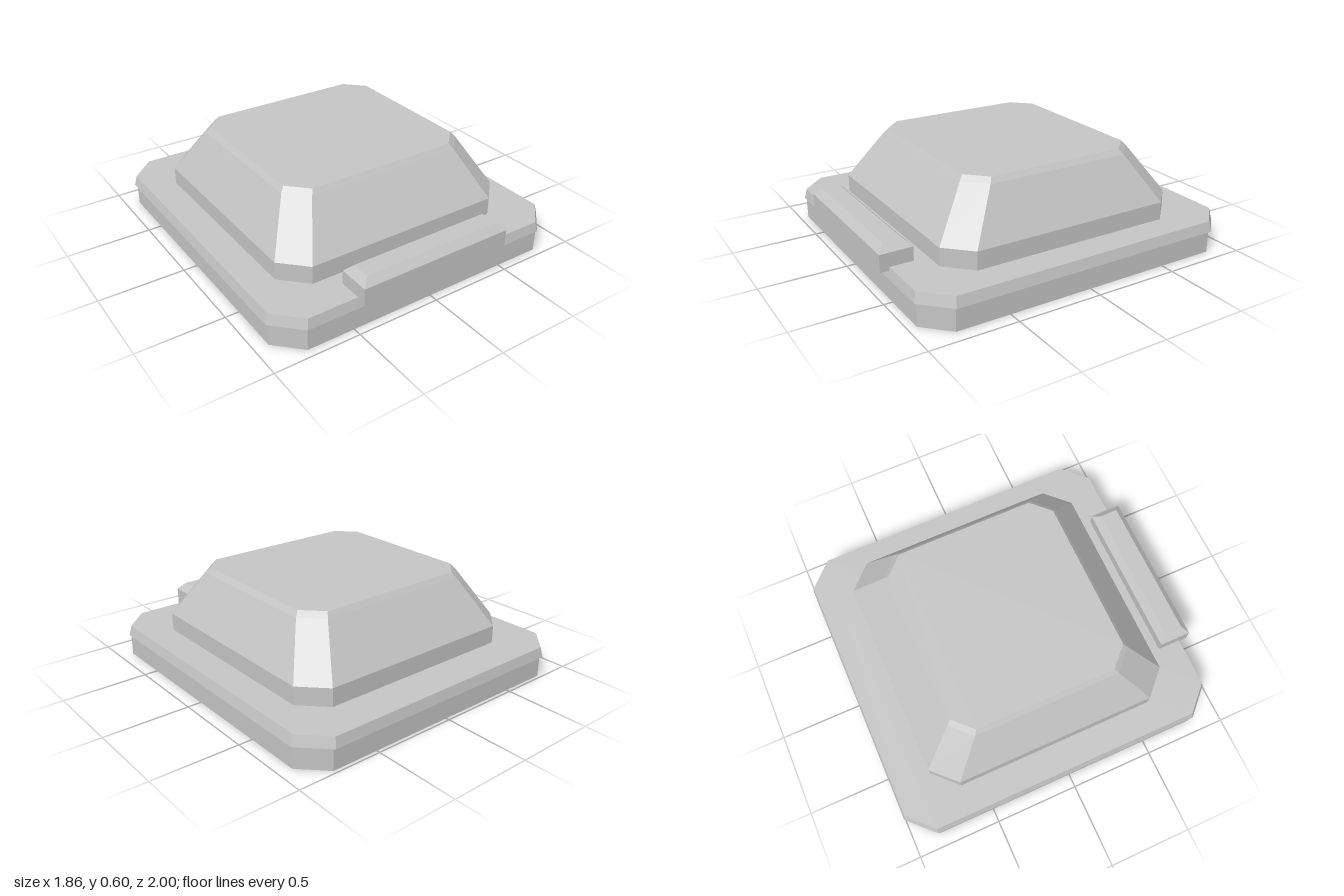
import * as THREE from 'three';

// Octagonal ring: a rectangle with cut corners, at height y
function ring([y, hx, hz, cut, cz]) {
  const x = hx - cut, z = hz - cut;
  return [
    [hx, -z], [hx, z], [x, hz], [-x, hz],
    [-hx, z], [-hx, -z], [-x, -hz], [x, -hz],
  ].map(([px, pz]) => [px, y, pz + cz]);
}

// Skin a stack of rings and cap both ends; every facet stays flat
function loft(sections) {
  const rings = sections.map(ring);
  const pos = [];
  const tri = (a, b, c) => pos.push(...a, ...b, ...c);
  for (let k = 0; k < rings.length - 1; k++) {
    const lo = rings[k], hi = rings[k + 1];
    for (let i = 0; i < 8; i++) {
      const j = (i + 1) % 8;
      tri(lo[i], hi[i], lo[j]);
      tri(lo[j], hi[i], hi[j]);
    }
  }
  const first = rings[0], last = rings[rings.length - 1];
  for (let i = 1; i < 7; i++) {
    tri(first[0], first[i], first[i + 1]);
    tri(last[0], last[i + 1], last[i]);
  }
  const geometry = new THREE.BufferGeometry();
  geometry.setAttribute('position', new THREE.Float32BufferAttribute(pos, 3));
  geometry.computeVertexNormals();
  return geometry;
}

export function createModel() {
  const group = new THREE.Group();
  const grey = new THREE.MeshStandardMaterial({ color: 0xc4c4c4, flatShading: true });
  grey.name = 'light grey';

  const add = (name, sections) => {
    const mesh = new THREE.Mesh(loft(sections), grey);
    mesh.name = name;
    group.add(mesh);
  };

  // Sections are [y, half width, half depth, corner cut, centre z]

  // Hollow base: recess ceiling, inner wall, rim, outer wall, overhanging lip
  add('base', [
    [0.13, 0.88, 0.925, 0.125, -0.015],
    [0, 0.88, 0.925, 0.125, -0.015],
    [0, 0.92, 0.965, 0.14, -0.015],
    [0.13, 0.92, 0.965, 0.14, -0.015],
    [0.13, 0.932, 0.98, 0.15, -0.02],
    [0.19, 0.916, 0.967, 0.143, -0.02],
  ]);

  // Raised housing: short upright wall, sloped sides, slight bevel at the top
  add('housing', [
    [0.18, 0.745, 0.745, 0.14, -0.018],
    [0.295, 0.745, 0.745, 0.14, -0.018],
    [0.57, 0.594, 0.552, 0.115, -0.018],
    [0.6, 0.57, 0.528, 0.11, -0.018],
  ]);

  // Front bar with a bevelled top
  add('frontBar', [
    [0.17, 0.477, 0.095, 0, 0.905],
    [0.27, 0.477, 0.095, 0, 0.905],
    [0.312, 0.435, 0.055, 0, 0.905],
  ]);

  return group;
}
